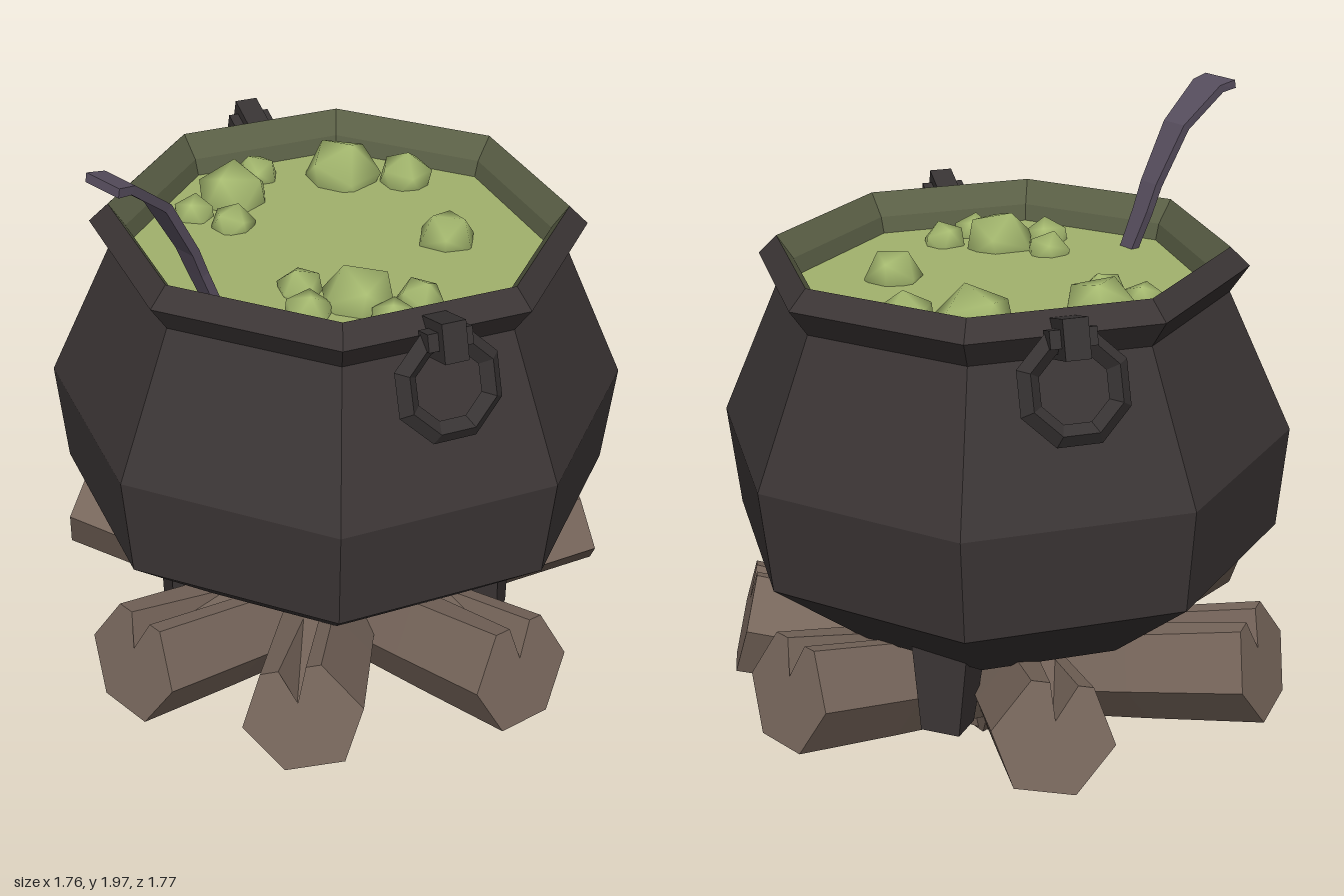
import * as THREE from 'three';
import { mergeVertices } from 'three/addons/utils/BufferGeometryUtils.js';

const flat = (name, color) => {
  const m = new THREE.MeshStandardMaterial({ color, flatShading: true });
  m.name = name;
  return m;
};

// Closed solid through a list of rings (each counter-clockwise around the travel direction)
function loft(rings) {
  const pos = [];
  const tri = (...pts) => pts.forEach((p) => pos.push(p.x, p.y, p.z));
  const n = rings[0].length;
  const middle = (ring) => ring.reduce((s, p) => s.add(p), new THREE.Vector3()).divideScalar(n);
  const first = rings[0], last = rings[rings.length - 1];
  const c0 = middle(first), c1 = middle(last);
  for (let i = 0; i < n; i++) {
    const j = (i + 1) % n;
    for (let k = 0; k < rings.length - 1; k++) {
      const a = rings[k], b = rings[k + 1];
      tri(a[i], a[j], b[j]);
      tri(a[i], b[j], b[i]);
    }
    tri(c0, first[j], first[i]);
    tri(c1, last[i], last[j]);
  }
  const g = new THREE.BufferGeometry();
  g.setAttribute('position', new THREE.Float32BufferAttribute(pos, 3));
  g.computeVertexNormals();
  return g;
}

// Six-sided log section with a split in its top edge
function logRing(z, r, split) {
  const h = r * 0.866;
  const pts = [[r, 0], [r / 2, h], [r * 0.25, h], [-r * 0.05, h - split], [-r * 0.2, h],
    [-r / 2, h], [-r, 0], [-r / 2, -h], [r / 2, -h]];
  return pts.map(([x, y]) => new THREE.Vector3(x, y, z));
}

export function createModel() {
  const model = new THREE.Group();
  const iron = flat('iron', 0x3b3535);
  const ring = flat('darkIron', 0x373333);
  const stain = flat('stainedRim', 0x5c6147);
  const brew = flat('brew', 0xa2b26d);
  const wood = flat('wood', 0x78675c);
  const spoonMetal = flat('spoonMetal', 0x574e5e);
  const bubbleMat = new THREE.MeshStandardMaterial({ color: 0xa6ba70 });
  bubbleMat.name = 'bubble';

  const add = (parent, name, geometry, material, x = 0, y = 0, z = 0) => {
    const m = new THREE.Mesh(geometry, material);
    m.name = name;
    m.position.set(x, y, z);
    parent.add(m);
    return m;
  };
  const lathe = (pts) => new THREE.LatheGeometry(pts.map(([r, y]) => new THREE.Vector2(r, y)), 8);

  // Pot, leaning back a touch
  const pot = new THREE.Group();
  pot.name = 'pot';
  pot.position.x = -0.01;
  pot.rotation.x = -0.018;
  model.add(pot);
  add(pot, 'potBody', lathe([[0, 0.48], [0.53, 0.49], [0.83, 0.745], [0.86, 1.06],
    [0.67, 1.485], [0.725, 1.565], [0.668, 1.62]]), iron);
  add(pot, 'innerRim', lathe([[0.668, 1.62], [0.62, 1.55], [0.6, 1.47]]), stain);
  add(pot, 'brewSurface', lathe([[0.61, 1.5], [0, 1.5]]), brew);

  // Bubbles: x, z, radius
  const bubbleGeo = new THREE.IcosahedronGeometry(1, 0);
  bubbleGeo.deleteAttribute('uv');
  bubbleGeo.deleteAttribute('normal');
  const bubble = mergeVertices(bubbleGeo);
  bubble.computeVertexNormals();
  [[-0.3, -0.34, 0.125], [-0.145, -0.46, 0.09], [0.205, -0.26, 0.09], [-0.485, -0.15, 0.072],
    [-0.43, 0, 0.118], [-0.43, 0.16, 0.068], [-0.3, 0.125, 0.072], [0.27, 0.18, 0.118],
    [0.39, 0.06, 0.072], [0.41, 0.19, 0.07], [0.22, 0.33, 0.076], [0.11, 0.25, 0.072],
  ].forEach(([x, z, r], i) => {
    const b = add(model, 'bubble', bubble, bubbleMat, x, 1.5, z);
    b.scale.setScalar(r);
    b.rotation.set(0.3 * (i % 3), i * 1.3, 0.2);
  });

  // Ring handles hanging on opposite faces
  for (const side of [0, Math.PI]) {
    const handle = new THREE.Group();
    handle.name = 'handle';
    handle.rotation.y = side + THREE.MathUtils.degToRad(67.5);
    pot.add(handle);
    const hoop = add(handle, 'handleRing', new THREE.TorusGeometry(0.132, 0.032, 4, 8), ring, 0, 1.44, 0.74);
    hoop.rotation.set(-0.35, 0, Math.PI / 8, 'XYZ');
    add(handle, 'handleBracket', new THREE.BoxGeometry(0.07, 0.11, 0.14), ring, 0, 1.565, 0.7).rotation.x = -0.3;
    add(handle, 'handleHinge', new THREE.BoxGeometry(0.13, 0.05, 0.06), ring, 0, 1.57, 0.71).rotation.x = -0.3;
  }

  // Three tapered legs
  for (const deg of [-28, 117, 212]) {
    const leg = new THREE.Group();
    leg.name = 'leg';
    leg.rotation.y = THREE.MathUtils.degToRad(deg);
    model.add(leg);
    const shape = new THREE.CylinderGeometry(0.125, 0.085, 0.3, 4).rotateY(Math.PI / 4);
    add(leg, 'legPost', shape, iron, 0, 0.405, 0.48).rotation.x = -0.1;
  }

  // Spoon handle: z, y, x centre, half width
  const path = [[0.45, 1.44, 0, 0.025], [0.515, 1.62, -0.02, 0.032], [0.545, 1.7, -0.022, 0.035],
    [0.635, 1.87, -0.028, 0.045], [0.76, 1.975, -0.03, 0.06], [0.81, 1.985, -0.032, 0.065]];
  const centres = path.map(([z, y, x]) => new THREE.Vector3(x, y, z));
  const across = new THREE.Vector3(1, 0, 0);
  const spoonRings = path.map(([, , , w], i) => {
    const t = centres[Math.min(i + 1, path.length - 1)].clone().sub(centres[Math.max(i - 1, 0)]).normalize();
    const n = t.cross(across).normalize();
    return [[1, 1], [-1, 1], [-1, -1], [1, -1]].map(([s, u]) =>
      centres[i].clone().addScaledVector(across, s * w).addScaledVector(n, u * 0.013));
  });
  add(model, 'spoonHandle', loft(spoonRings), spoonMetal);

  // Firewood: heading in degrees, roll, outer reach
  const logs = new THREE.Group();
  logs.name = 'firewood';
  model.add(logs);
  [[-1, 0, 0.87], [38, 0.25, 0.86], [85, -0.1, 0.87], [147, 0.2, 0.84],
    [184, 0.05, 0.87], [242, -0.2, 0.83], [296, 0.1, 0.88],
  ].forEach(([deg, roll, reach]) => {
    const log = add(logs, 'log', loft([logRing(-0.18, 0.145, 0), logRing(0.5, 0.17, 0),
      logRing(reach, 0.18, 0.12)]), wood, 0, 0.205, 0);
    log.rotation.set(-0.25, THREE.MathUtils.degToRad(deg), roll, 'YXZ');
  });
  return model;
}
